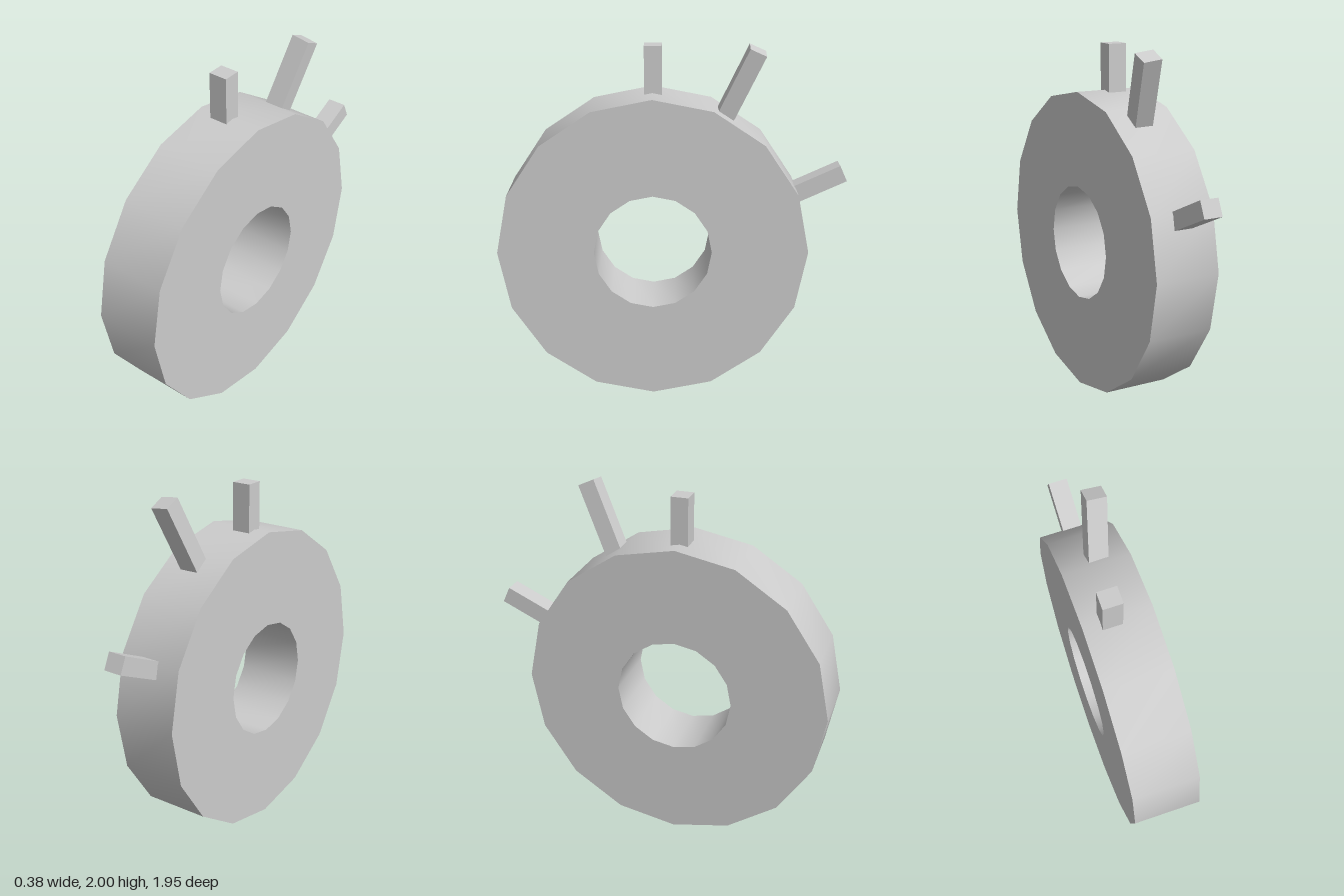
import * as THREE from 'three';
import { toCreasedNormals } from 'three/addons/utils/BufferGeometryUtils.js';

const SIDES = 16;
const material = new THREE.MeshStandardMaterial({ color: 0xcccccc });

// Corners of a regular polygon with one corner pointing up
function polygon(radius) {
  return Array.from({ length: SIDES }, (_, i) => {
    const a = Math.PI / 2 + (i / SIDES) * Math.PI * 2;
    return new THREE.Vector2(Math.cos(a) * radius, Math.sin(a) * radius);
  });
}

// Square peg whose outer end is centred on tip and which runs back along direction
function peg(name, tip, direction, length) {
  const geometry = new THREE.BoxGeometry(0.107, length, 0.097);
  geometry.translate(0, -length / 2, 0);
  const mesh = new THREE.Mesh(geometry, material);
  mesh.name = name;
  mesh.position.set(...tip);
  mesh.quaternion.setFromUnitVectors(
    new THREE.Vector3(0, 1, 0),
    new THREE.Vector3(...direction).normalize()
  );
  return mesh;
}

export function createModel() {
  const model = new THREE.Group();
  model.name = 'ringWithPegs';

  // Thick ring with a round hole, its axis along x
  const width = 0.375;
  const shape = new THREE.Shape(polygon(0.865));
  shape.holes.push(new THREE.Path(polygon(0.328)));
  const geometry = new THREE.ExtrudeGeometry(shape, { depth: width, bevelEnabled: false });
  geometry.translate(0, 0, -width / 2);
  geometry.rotateY(Math.PI / 2);
  const ring = new THREE.Mesh(toCreasedNormals(geometry, 0.6), material);
  ring.name = 'ring';
  ring.position.set(0, 0.867, 0.11);
  model.add(ring);

  // Pegs standing on the rim, from the top towards the back
  model.add(peg('topPeg', [-0.038, 1.99, 0.106], [0, 1, 0], 0.29));
  model.add(peg('slantedPeg', [0.07, 1.976, -0.458], [0.05, 0.362, -0.168], 0.44));
  model.add(peg('backPeg', [0.002, 1.285, -0.951], [0, 0.115, -0.25], 0.31));

  return model;
}
